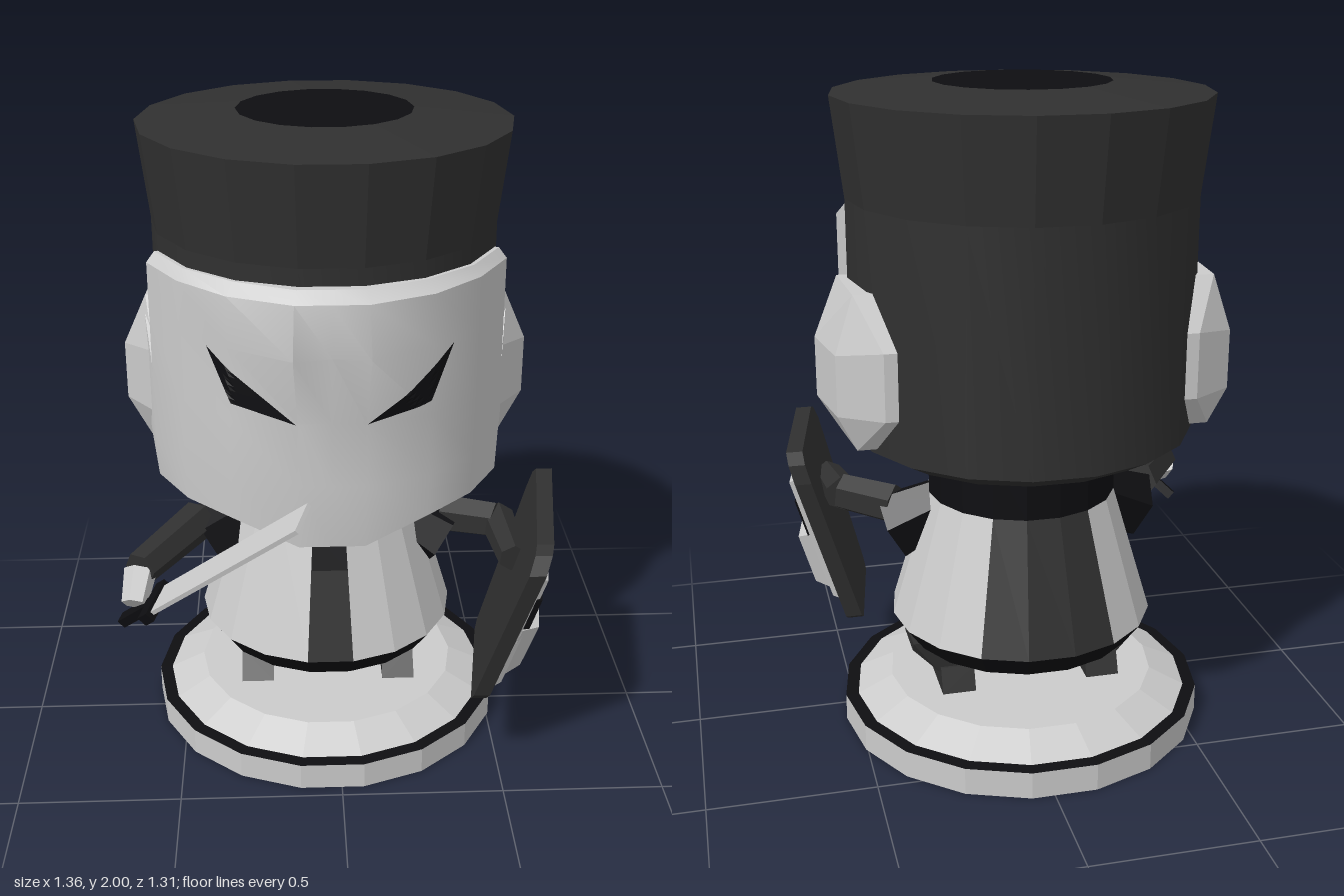
import * as THREE from 'three';
import { toCreasedNormals } from 'three/addons/utils/BufferGeometryUtils.js';
import { ConvexGeometry } from 'three/addons/geometries/ConvexGeometry.js';

const GREY = 0xcccccc, DARK = 0x303030, BLACK = 0x0e0e11;
const CX = -0.03, CZ = -0.1, RAD = Math.PI / 180;
const V = (x, y, z) => new THREE.Vector3(x, y, z);
const mat = (color, flatShading = true) =>
  new THREE.MeshStandardMaterial({ color, flatShading, side: THREE.DoubleSide });

function add(parent, name, geometry, color, flat = true) {
  const m = new THREE.Mesh(geometry, mat(color, flat));
  m.name = name;
  parent.add(m);
  return m;
}

// 18-sided turned part around the figure's axis; from/to in degrees, 0 = front
function turned(parent, name, profile, color, flat = true, from = -10, to = 350) {
  let g = new THREE.LatheGeometry(profile.map(p => new THREE.Vector2(...p)),
    Math.round((to - from) / 20), from * RAD, (to - from) * RAD);
  if (!flat) g = toCreasedNormals(g, 0.6);
  g.translate(CX, 0, CZ);
  return add(parent, name, g, color, flat);
}

const hull = (parent, name, pts, color) =>
  add(parent, name, new ConvexGeometry(pts.map(p => V(...p))), color);

// Tapered limb between two points
function limb(parent, name, a, b, ra, rb, color, sides = 6) {
  const p = V(...a), q = V(...b), d = q.clone().sub(p);
  const m = add(parent, name, new THREE.CylinderGeometry(rb, ra, d.length(), sides), color);
  m.position.copy(p).add(q).multiplyScalar(0.5);
  m.quaternion.setFromUnitVectors(V(0, 1, 0), d.normalize());
  return m;
}

// Face shell: columns around the head, rows from the jaw to the hairline
function faceGeometry() {
  const half = [[88, 1.43, true], [88, 1.43], [70, 1.28], [70, 1.63], [50, 1.63], [30, 1.63], [10, 1.63]];
  const cols = [...half.map(([a, t, i]) => [-a, t, i]), [0, 1.63], ...half.reverse()];
  const jaw = a => (a <= 10 ? 0.82 : a <= 70 ? 0.89 : 0.96);
  const rows = [ // height, front radius, side radius
    [b => b + 0.08, 0.3, 0.3], [b => b, 0.49, 0.5], [b => b + 0.03, 0.55, 0.55], [() => 1.05, 0.565, 0.555],
    [() => 1.24, 0.55, 0.555], [() => 1.45, 0.615, 0.555], [() => 1.6, 0.585, 0.555],
    [() => 1.63, 0.545, 0.53], [() => 1.63, 0.45, 0.45]];
  const pos = [], idx = [], n = rows.length;
  cols.forEach(([deg, top, inner], i) => rows.forEach(([h, rf, rs], j) => {
    const a = Math.abs(deg);
    let r = a <= 10 ? rf : a <= 30 && rs > 0.54 ? rs + 0.015 : rs;
    if (a === 0) r *= j === 5 ? 0.95 : 0.985;
    if (inner) r = Math.min(r, 0.45);
    pos.push(CX + r * Math.sin(deg * RAD), Math.min(h(jaw(a)), top), CZ + r * Math.cos(deg * RAD));
    if (i < cols.length - 1 && j < n - 1) {
      const p = i * n + j;
      idx.push(p, p + n, p + 1, p + n, p + n + 1, p + 1);
    }
  }));
  const g = new THREE.BufferGeometry();
  g.setAttribute('position', new THREE.Float32BufferAttribute(pos, 3));
  g.setIndex(idx);
  return toCreasedNormals(g, 0.6);
}

// Triangular eye laid onto the face by casting a grid of points against it
function eyeGeometry(face, s) {
  const [A, B, C] = [[0.345, 1.44], [0.1, 1.24], [0.28, 1.29]];
  const n = 10, ray = new THREE.Raycaster(), pos = [];
  const point = (i, j) => {
    const u = i / n, v = j / n, w = 1 - u - v;
    const x = CX + s * (A[0] * w + B[0] * u + C[0] * v), y = A[1] * w + B[1] * u + C[1] * v;
    ray.set(V(x, y, 2), V(0, 0, -1));
    const hit = ray.intersectObject(face)[0];
    return [x, y, (hit ? hit.point.z : 0.4) + 0.008];
  };
  for (let i = 0; i < n; i++) for (let j = 0; j < n - i; j++) {
    pos.push(...point(i, j), ...point(i + 1, j), ...point(i, j + 1));
    if (i + j < n - 1) pos.push(...point(i + 1, j), ...point(i + 1, j + 1), ...point(i, j + 1));
  }
  const g = new THREE.BufferGeometry();
  g.setAttribute('position', new THREE.Float32BufferAttribute(pos, 3));
  g.computeVertexNormals();
  return g;
}

function buildSword() {
  const sword = new THREE.Group();
  sword.name = 'sword';
  const tip = V(-0.115, 1.03, 0.6), guard = V(-0.56, 0.61, 0.335);
  const L = tip.clone().sub(guard), len = L.length();
  L.normalize();
  const W = V(-0.07, -0.06, 0.09).addScaledVector(L, -V(-0.07, -0.06, 0.09).dot(L)).normalize();
  sword.matrix.makeBasis(W, L, W.clone().cross(L));
  sword.matrix.decompose(sword.position, sword.quaternion, sword.scale);
  sword.position.copy(guard);
  const box = (name, w, h, d, y, c) => add(sword, name, new THREE.BoxGeometry(w, h, d).translate(0, y, 0), c);
  box('blade', 0.115, len, 0.014, len / 2, GREY);
  box('guard', 0.15, 0.04, 0.035, 0, BLACK);
  box('grip', 0.04, 0.16, 0.03, -0.08, BLACK);
  return sword;
}

// Shield plates: outlines in (z, y) laid on a leaning plane, w = height above it
function buildShield() {
  const shield = new THREE.Group();
  shield.name = 'shield';
  const plate = (name, outline, w0, w1, inset, color) => {
    const cz = outline.reduce((t, p) => t + p[0], 0) / outline.length;
    const cy = outline.reduce((t, p) => t + p[1], 0) / outline.length;
    const layer = (w, k) => outline.map(([z0, y0]) => {
      const z = cz + (z0 - cz) * k, y = cy + (y0 - cy) * k;
      return [0.54 + 0.29 * (y - 0.58) - 0.15 * (z - 0.25) + w, y, z];
    });
    hull(shield, name, [...layer(w0, 1), ...layer(w1, inset)], color);
  };
  plate('shieldBoard', [[0.55, 0.8], [0.52, 0.85], [0.48, 0.865], [0.02, 0.88], [-0.02, 0.85],
    [-0.03, 0.79], [0, 0.31], [0.03, 0.29], [0.4, 0.28], [0.43, 0.31]], -0.03, 0.02, 1, DARK);
  plate('shieldFace', [[0.52, 0.77], [-0.01, 0.8], [0.01, 0.37], [0.43, 0.34]], 0.015, 0.04, 0.95, GREY);
  plate('shieldBand', [[0.5, 0.69], [0.01, 0.72], [0.015, 0.6], [0.48, 0.58]], 0.03, 0.047, 1, BLACK);
  plate('shieldBoss', [[0.475, 0.57], [0.02, 0.6], [0.03, 0.4], [0.42, 0.37]], 0.03, 0.085, 0.82, GREY);
  return shield;
}

export function createModel() {
  const model = new THREE.Group();
  model.name = 'figure';

  // Stand
  turned(model, 'standBottom', [[0, 0], [0.57, 0]], BLACK);
  turned(model, 'standSide', [[0.57, 0], [0.57, 0.085]], GREY);
  turned(model, 'standRing', [[0.57, 0.085], [0.53, 0.087]], BLACK);
  turned(model, 'standTop', [[0.53, 0.087], [0.42, 0.14], [0, 0.14]], GREY);

  // Torso: hem, coat panels, front and back strips, neck
  turned(model, 'hem', [[0, 0.29], [0.36, 0.29], [0.41, 0.36]], BLACK);
  const coat = [[0.41, 0.36], [0.29, 0.76]];
  turned(model, 'coatLeft', coat, GREY, true, 10, 150);
  turned(model, 'coatRight', coat, GREY, true, 210, 350);
  turned(model, 'coatBack', coat, DARK, true, 150, 210);
  turned(model, 'coatFront', [[0.41, 0.36], [0.326, 0.64]], DARK, true, -10, 10);
  turned(model, 'shirt', [[0.326, 0.64], [0.29, 0.76]], BLACK, true, -10, 10);
  turned(model, 'neck', [[0.29, 0.76], [0.29, 0.95]], BLACK);

  // Head: hair, crown, face, ears and eyes
  turned(model, 'hair', [[0.29, 0.905], [0.44, 0.93], [0.518, 0.975], [0.518, 1.68]], DARK, false);
  turned(model, 'crown', [[0.518, 1.68], [0.553, 1.97], [0.26, 2]], DARK);
  turned(model, 'crownCap', [[0.26, 2], [0, 2]], BLACK);
  const face = add(model, 'face', faceGeometry(), GREY, false);
  for (const s of [1, -1]) {
    const side = s > 0 ? 'left' : 'right';
    const at = pts => pts.map(([x, y, z]) => [CX + s * x, y, z]);
    hull(model, side + 'Ear', at([
      [0.545, 1.45, -0.06], [0.53, 1.45, -0.3], [0.45, 1.45, -0.06], [0.42, 1.45, -0.3],
      [0.62, 1.28, -0.1], [0.585, 1.28, -0.31], [0.62, 1.1, -0.1], [0.585, 1.1, -0.31],
      [0.46, 1.3, -0.39], [0.46, 1.1, -0.39], [0.38, 1.3, -0.39], [0.38, 1.1, -0.39],
      [0.52, 1.3, 0.03], [0.52, 1.1, 0.03], [0.55, 0.98, -0.08], [0.53, 0.99, -0.3],
      [0.45, 0.97, -0.06], [0.42, 0.99, -0.3]]), GREY);
    add(model, side + 'Eye', eyeGeometry(face, s), BLACK);

    // Trouser leg and shoe
    hull(model, side + 'Leg', at([
      [0.18, 0.31, -0.05], [0.37, 0.31, -0.05], [0.18, 0.31, -0.23], [0.37, 0.31, -0.23],
      [0.37, 0.28, -0.07], [0.37, 0.28, -0.21], [0.18, 0.2, -0.06], [0.29, 0.2, -0.06],
      [0.18, 0.2, -0.22], [0.29, 0.2, -0.22]]), DARK);
    hull(model, side + 'Shoe', at([
      [0.18, 0.14, 0.08], [0.285, 0.14, 0.08], [0.18, 0.14, -0.26], [0.285, 0.14, -0.26],
      [0.18, 0.215, 0], [0.285, 0.215, 0], [0.18, 0.215, -0.23], [0.285, 0.215, -0.23]]), DARK);
    limb(model, side + 'Sleeve', [CX + s * 0.2, 0.73, -0.08], [CX + s * 0.385, 0.63, -0.03], 0.08, 0.115, BLACK);
  }

  // Forearms and hands
  limb(model, 'rightForearm', [-0.44, 0.7, -0.02], [-0.61, 0.67, 0.24], 0.065, 0.055, DARK);
  limb(model, 'rightHand', [-0.61, 0.66, 0.23], [-0.625, 0.59, 0.31], 0.05, 0.04, GREY);
  limb(model, 'leftForearm', [0.36, 0.7, -0.03], [0.51, 0.72, 0.06], 0.065, 0.06, DARK);
  limb(model, 'leftHand', [0.51, 0.72, 0.04], [0.53, 0.7, 0.27], 0.055, 0.045, DARK);

  model.add(buildSword(), buildShield());
  return model;
}
